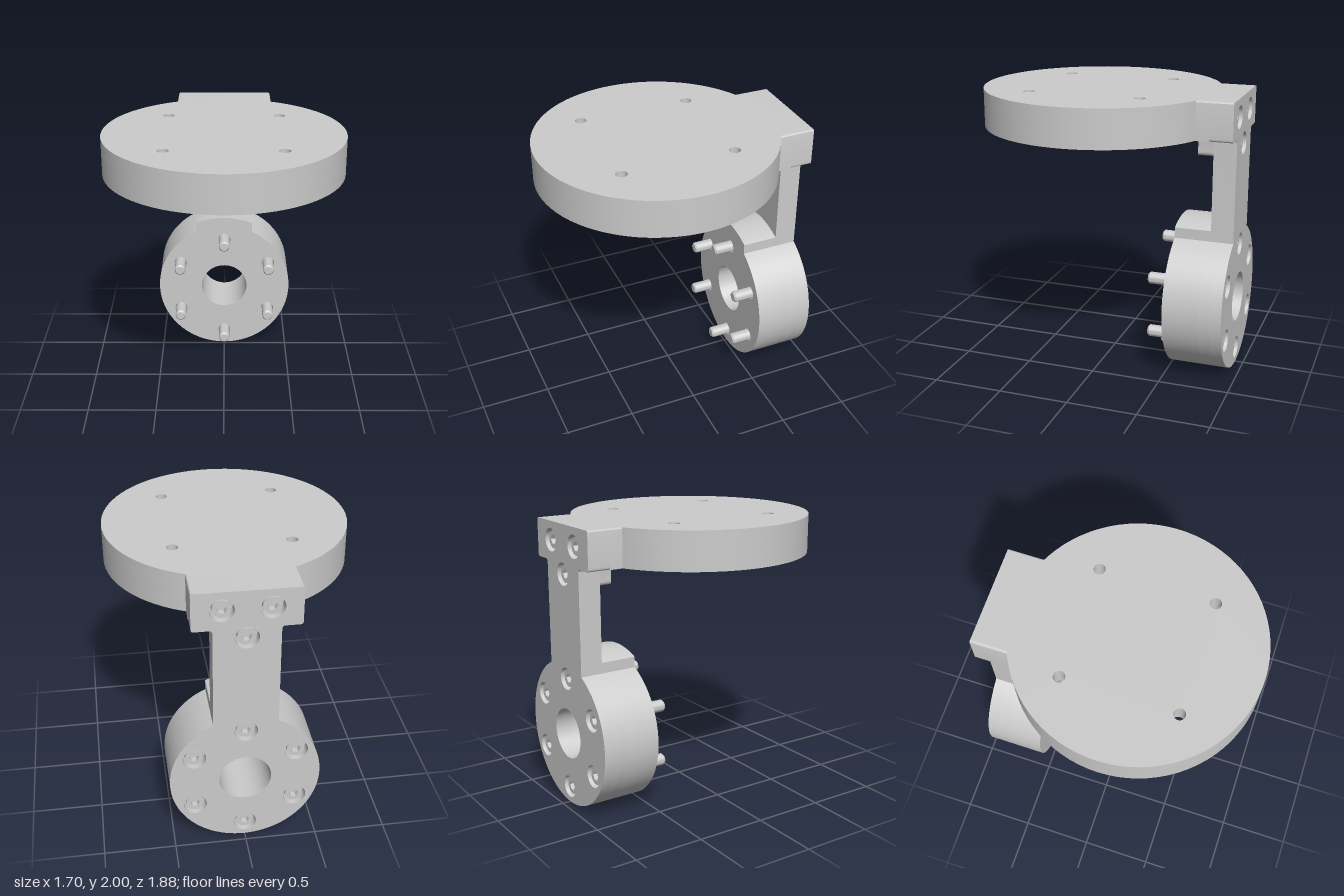
import * as THREE from 'three';
import { toCreasedNormals } from 'three/addons/utils/BufferGeometryUtils.js';

const material = new THREE.MeshStandardMaterial({ color: 0xcccccc });
const RING_Y = 0.52, RING_R = 0.52, ARM = 0.22, BACK = -0.94;

function mesh(name, geometry) {
  const m = new THREE.Mesh(toCreasedNormals(geometry, 0.5), material);
  m.name = name;
  return m;
}

// Extrude an outline with round holes [x, y, radius] from z0 to z1
function slab(name, shape, holes, z0, z1) {
  for (const [x, y, r] of holes) {
    shape.holes.push(new THREE.Path().absarc(x, y, r, 0, Math.PI * 2, true));
  }
  const g = new THREE.ExtrudeGeometry(shape, { depth: z1 - z0, bevelEnabled: false, curveSegments: 40 });
  g.translate(0, 0, z0);
  return mesh(name, g);
}

const disc = r => new THREE.Shape().absarc(0, 0, r, 0, Math.PI * 2, false);

// Ring outline, open at the top where the arm joins
function ringStart() {
  const a = Math.acos(ARM / RING_R);
  return new THREE.Shape().absarc(0, RING_Y, RING_R, Math.PI - a, a + Math.PI * 2, false);
}

// Ring, arm and head block in one outline
function bracketOutline() {
  return ringStart()
    .lineTo(ARM, 1.705).quadraticCurveTo(ARM, 1.73, 0.245, 1.73)
    .lineTo(0.335, 1.73).quadraticCurveTo(0.355, 1.73, 0.355, 1.75)
    .lineTo(0.355, 1.985).quadraticCurveTo(0.355, 2, 0.34, 2)
    .lineTo(-0.34, 2).quadraticCurveTo(-0.355, 2, -0.355, 1.985)
    .lineTo(-0.355, 1.75).quadraticCurveTo(-0.355, 1.73, -0.335, 1.73)
    .lineTo(-0.245, 1.73).quadraticCurveTo(-ARM, 1.73, -ARM, 1.705)
    .closePath();
}

// Ring with the arc-topped neck in front of the arm
function hubOutline() {
  const b = Math.acos(ARM / 0.59);
  return ringStart().lineTo(ARM, 1.067)
    .absarc(0, RING_Y, 0.59, b, Math.PI - b, false).closePath();
}

function blockOutline() {
  return new THREE.Shape().moveTo(-0.355, 1.73).lineTo(0.355, 1.73)
    .lineTo(0.355, 1.985).quadraticCurveTo(0.355, 2, 0.34, 2)
    .lineTo(-0.34, 2).quadraticCurveTo(-0.355, 2, -0.355, 1.985).closePath();
}

function bossOutline() {
  return new THREE.Shape().moveTo(-0.12, 1.58).lineTo(0.12, 1.58)
    .quadraticCurveTo(0.15, 1.58, 0.15, 1.61)
    .lineTo(0.15, 1.7).quadraticCurveTo(0.15, 1.73, 0.18, 1.735)
    .lineTo(-0.18, 1.735).quadraticCurveTo(-0.15, 1.73, -0.15, 1.7)
    .lineTo(-0.15, 1.61).quadraticCurveTo(-0.15, 1.58, -0.12, 1.58);
}

// Socket-head screw pointing to +z, head seated at z = 0
function screw(name, length) {
  const g = new THREE.Group();
  g.name = name;
  const head = disc(0.062);
  const hex = [];
  for (let i = 0; i < 6; i++) {
    const a = -i * Math.PI / 3;
    hex.push(new THREE.Vector2(0.035 * Math.cos(a), 0.035 * Math.sin(a)));
  }
  head.holes.push(new THREE.Path(hex));
  g.add(slab('screwHead', head, [], -0.06, 0));
  const profile = [[0, -0.02], [0.042, -0.02], [0.042, length - 0.012], [0.032, length], [0, length]];
  const shank = new THREE.LatheGeometry(profile.map(p => new THREE.Vector2(...p)), 32);
  g.add(mesh('screwShank', shank.rotateX(Math.PI / 2)));
  return g;
}

export function createModel() {
  const model = new THREE.Group();
  model.name = 'discBracket';

  const ringSpots = [];
  for (let i = 0; i < 6; i++) {
    const a = Math.PI / 2 + i * Math.PI / 3;
    ringSpots.push([0.403 * Math.cos(a), RING_Y + 0.403 * Math.sin(a)]);
  }
  const headSpots = [[-0.16, 1.87], [0.16, 1.87], [0, 1.66]];
  const bore = [0, RING_Y, 0.18];
  const sized = (spots, r) => spots.map(([x, y]) => [x, y, r]);

  // Bracket: counterbored back layer, solid middle, then the front features
  model.add(slab('bracketBack', bracketOutline(),
    [bore, ...sized(ringSpots, 0.08), ...sized(headSpots, 0.08)], BACK, -0.86));
  model.add(slab('bracketArm', bracketOutline(), [bore], -0.86, -0.78));
  model.add(slab('hubRing', hubOutline(), [bore, ...sized(ringSpots, 0.05)], -0.78, -0.52));
  model.add(slab('headBlock', blockOutline(), [], -0.78, -0.683));
  model.add(slab('screwBoss', bossOutline(), [], -0.78, -0.655));

  // Screws
  for (const [x, y] of ringSpots) {
    const s = screw('ringScrew', 0.485);
    s.position.set(x, y, -0.86);
    model.add(s);
  }
  headSpots.forEach(([x, y], i) => {
    const s = screw('headScrew', i === 2 ? 0.208 : 0.2);
    s.position.set(x, y, -0.86);
    model.add(s);
  });

  // Round plate: closed recess and four counterbored holes underneath
  const plate = new THREE.Group();
  plate.name = 'roundPlate';
  const spots = [[-0.4, -0.4], [0.4, -0.4], [-0.4, 0.4], [0.4, 0.4]];
  plate.add(slab('plateLower', disc(0.848), [[0, 0, 0.3], ...sized(spots, 0.08)], 0, 0.1));
  plate.add(slab('plateMiddle', disc(0.848), [[0, 0, 0.3], ...sized(spots, 0.04)], 0.1, 0.22));
  plate.add(slab('plateTop', disc(0.848), sized(spots, 0.04), 0.22, 0.27));
  plate.rotation.x = -Math.PI / 2;
  plate.position.set(0, 1.73, 0.088);
  model.add(plate);

  return model;
}
